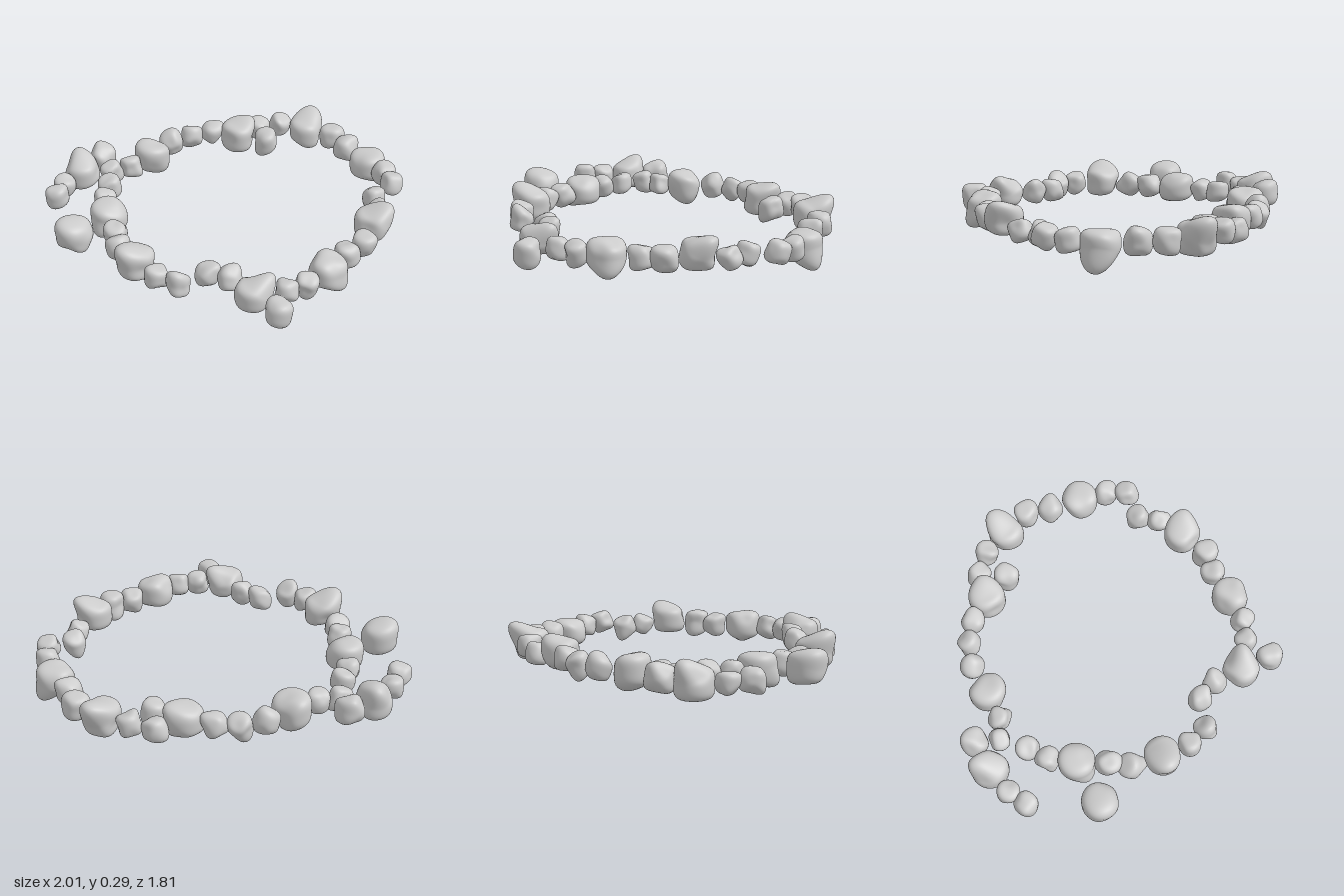
import * as THREE from 'three';
import { mergeVertices } from 'three/addons/utils/BufferGeometryUtils.js';

// Large beads: x, z, centre height, half height, drawn-out tip (dx, dy, dz)
const LARGE = [
  [-0.73, -0.68, 0.14, 0.08, 0.0, 0.045, -0.02],
  [-0.30, -0.72, 0.15, 0.085, 0.01, -0.035, 0.0],
  [0.25, -0.76, 0.15, 0.085, 0.02, 0.025, -0.01],
  [0.66, -0.68, 0.145, 0.085, 0.02, 0.04, -0.025],
  [0.89, -0.265, 0.135, 0.075, 0.03, -0.06, 0.0],
  [0.67, 0.335, 0.175, 0.075, 0.025, 0.035, 0.0],
  [0.30, 0.61, 0.16, 0.085, 0.015, -0.04, 0.01],
  [-0.13, 0.665, 0.16, 0.075, 0.025, 0.035, 0.0],
  [-0.64, 0.24, 0.165, 0.08, -0.025, 0.045, 0.01],
  [-0.68, -0.215, 0.15, 0.08, -0.02, -0.025, 0.01],
  [-0.90, -0.08, 0.16, 0.085, -0.01, 0.02, 0.0],
];

// Small beads: x, z, radius
const SMALL = [
  [-0.59, -0.77, 0.078], [-0.57, -0.64, 0.062], [-0.45, -0.65, 0.063],
  [-0.855, -0.575, 0.063], [-0.92, -0.475, 0.066], [-0.615, -0.485, 0.066],
  [-0.67, -0.375, 0.065], [-0.68, -0.045, 0.07], [-0.695, 0.08, 0.07],
  [-0.565, 0.39, 0.065], [-0.475, 0.475, 0.066], [-0.31, 0.445, 0.066],
  [-0.21, 0.52, 0.065], [-0.05, 0.825, 0.073], [0.04, 0.695, 0.064],
  [0.155, 0.68, 0.064], [0.45, 0.51, 0.07], [0.565, 0.47, 0.072],
  [0.765, 0.2, 0.063], [0.785, 0.08, 0.065], [0.925, 0.01, 0.066],
  [0.93, -0.11, 0.066], [0.82, -0.43, 0.072], [0.785, -0.57, 0.072],
  [0.525, -0.78, 0.065], [0.405, -0.815, 0.066], [0.395, -0.66, 0.072],
  [0.1, -0.83, 0.065], [-0.02, -0.84, 0.065], [-0.155, -0.815, 0.07],
];

// Seeded generator
let seed = 7;
const rand = () => (seed = (seed * 16807) % 2147483647) / 2147483647;
const spread = (s) => (rand() - 0.5) * 2 * s;

// Rounded pebble: a soft barrel with blunt worn facets and one drawn-out tip
function beadGeometry(radius, halfHeight, tip, detail) {
  let geo = new THREE.IcosahedronGeometry(1, detail);
  geo.deleteAttribute('normal');
  geo.deleteAttribute('uv');
  geo = mergeVertices(geo);
  const facets = Array.from({ length: 7 }, () => ({
    n: new THREE.Vector3(spread(1), spread(1), spread(1)).normalize(),
    h: 0.92 + 0.14 * rand(),
  }));
  const tipDir = tip.clone().normalize();
  const pos = geo.attributes.position;
  const d = new THREE.Vector3();
  const v = new THREE.Vector3();
  const p = 4;
  for (let i = 0; i < pos.count; i++) {
    d.fromBufferAttribute(pos, i).normalize();
    let sum = Math.hypot(d.x, d.z) ** p + Math.abs(d.y) ** p;
    for (const f of facets) sum += 0.5 * Math.max(0, d.dot(f.n) / f.h) ** 10;
    v.copy(d).multiplyScalar(sum ** (-1 / p));
    v.set(v.x * radius, v.y * halfHeight, v.z * radius);
    const pull = Math.max(0, (d.dot(tipDir) - 0.45) / 0.55);
    v.addScaledVector(tip, pull ** 1.6);
    pos.setXYZ(i, v.x, v.y, v.z);
  }
  geo.computeVertexNormals();
  return geo;
}

export function createModel() {
  const group = new THREE.Group();
  group.name = 'beadRing';
  const material = new THREE.MeshStandardMaterial({ color: 0xcccccc });

  const addBead = (name, geo, x, y, z) => {
    const mesh = new THREE.Mesh(geo, material);
    mesh.name = name;
    mesh.position.set(x, y, z);
    group.add(mesh);
    return mesh;
  };

  // Large pointed beads
  LARGE.forEach(([x, z, y, h, tx, ty, tz], i) => {
    const geo = beadGeometry(0.103, h, new THREE.Vector3(tx, ty, tz), 10);
    addBead(`largeBead${i + 1}`, geo, x, y, z);
  });

  // Small beads, each slightly tilted
  SMALL.forEach(([x, z, r], i) => {
    const tip = new THREE.Vector3(spread(0.012), spread(0.022), spread(0.012));
    const geo = beadGeometry(r, r * 0.93, tip, 7);
    const bead = addBead(`smallBead${i + 1}`, geo, x, 0.15 + spread(0.012), z);
    bead.rotation.set(spread(0.35), spread(3), spread(0.35));
  });

  return group;
}
